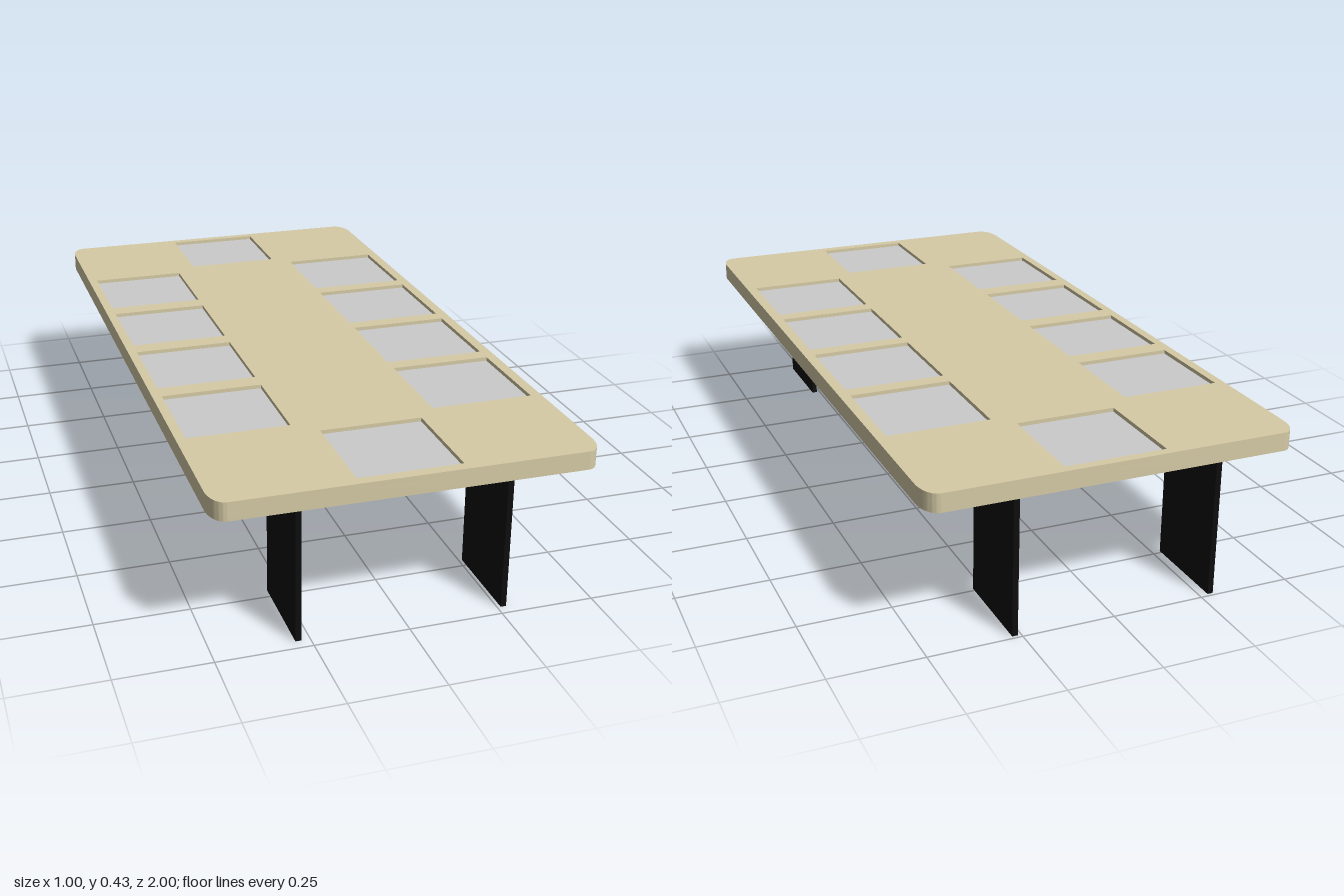
import * as THREE from 'three';
import { toCreasedNormals } from 'three/addons/utils/BufferGeometryUtils.js';

const TOP = 0.425, BOTTOM = 0.375, RECESS = 0.012;

// Tabletop outline with elliptical corners, drawn in (x, z)
function outline() {
  const hx = 0.5, hz = 1, rx = 0.04, rz = 0.07;
  const s = new THREE.Shape();
  s.absellipse(hx - rx, hz - rz, rx, rz, 0, Math.PI / 2);
  s.absellipse(-hx + rx, hz - rz, rx, rz, Math.PI / 2, Math.PI);
  s.absellipse(-hx + rx, -hz + rz, rx, rz, Math.PI, Math.PI * 1.5);
  s.absellipse(hx - rx, -hz + rz, rx, rz, Math.PI * 1.5, Math.PI * 2);
  s.closePath();
  return s;
}

// Horizontal slab whose upper face lies at the given height
function slab(shape, top, depth) {
  const g = new THREE.ExtrudeGeometry(shape, { depth, bevelEnabled: false, curveSegments: 10 });
  g.rotateX(Math.PI / 2).translate(0, top, 0);
  return toCreasedNormals(g, 0.6);
}

export function createModel() {
  const model = new THREE.Group();
  model.name = 'diningTable';
  const wood = new THREE.MeshStandardMaterial({ color: 0xd6cba6 });
  const grey = new THREE.MeshStandardMaterial({ color: 0xcccccc });
  const black = new THREE.MeshStandardMaterial({ color: 0x0d0d0d });

  const add = (parent, name, geometry, material) => {
    const mesh = new THREE.Mesh(geometry, material);
    mesh.name = name;
    parent.add(mesh);
    return mesh;
  };

  // Place settings: centre x, centre z, width, length
  const settings = [[0, -0.835, 0.275, 0.28], [0, 0.83, 0.275, 0.28]];
  for (const z of [-0.503, -0.17, 0.163, 0.497]) {
    settings.push([-0.337, z, 0.275, 0.277], [0.33, z, 0.282, 0.288]);
  }

  // Tabletop: solid base below a layer cut with the recesses
  const tabletop = new THREE.Group();
  tabletop.name = 'tabletop';
  model.add(tabletop);
  add(tabletop, 'tabletopBase', slab(outline(), TOP - RECESS, TOP - RECESS - BOTTOM), wood);
  const cut = outline();
  for (const [x, z, w, l] of settings) {
    const a = x - w / 2, b = x + w / 2, c = z - l / 2, d = z + l / 2;
    const hole = new THREE.Path();
    hole.moveTo(a, c).lineTo(a, d).lineTo(b, d).lineTo(b, c).closePath();
    cut.holes.push(hole);
  }
  add(tabletop, 'tabletopSurface', slab(cut, TOP, RECESS), wood);

  // Grey panels on the floor of each recess
  const panels = new THREE.Group();
  panels.name = 'placePanels';
  model.add(panels);
  for (const [x, z, w, l] of settings) {
    add(panels, 'placePanel', new THREE.BoxGeometry(w, 0.003, l), grey)
      .position.set(x, TOP - RECESS, z);
  }

  // Four thin plate legs
  for (const x of [-0.281, 0.267]) {
    for (const z of [-0.866, 0.845]) {
      const name = (z > 0 ? 'front' : 'back') + (x > 0 ? 'Left' : 'Right') + 'Leg';
      add(model, name, new THREE.BoxGeometry(0.015, 0.38, 0.25), black).position.set(x, 0.19, z);
    }
  }
  return model;
}
